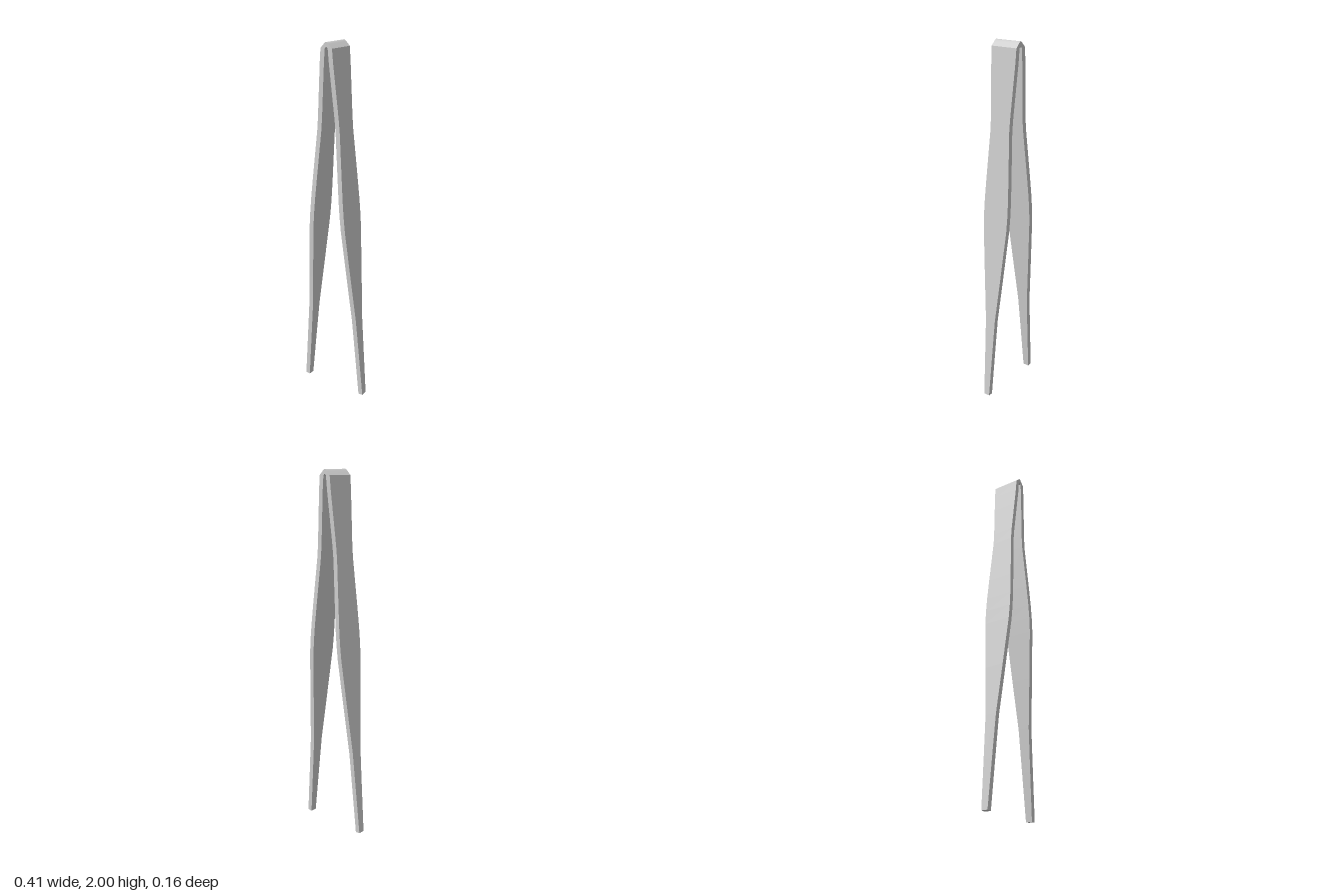
import * as THREE from 'three';
import { toCreasedNormals } from 'three/addons/utils/BufferGeometryUtils.js';

// Half-width of the blade (z) at heights y, from tip to shoulder
const widths = [
  [0, 0.018], [0.25, 0.025], [0.48, 0.032], [0.75, 0.055], [1.02, 0.077], [1.1, 0.079],
  [1.18, 0.078], [1.3, 0.073], [1.55, 0.061], [1.62, 0.062], [1.8, 0.071], [1.9, 0.076], [1.97, 0.077],
];

// Half of the bent strip: each station has outer and inner (x, y) and half-width
function halfStations() {
  const list = widths.map(([y, w]) => {
    const t = y / 1.97;
    return {
      outer: [0.207 + (0.035 - 0.207) * t, y + 0.002 * (1 - t)],
      inner: [0.180 + (0.009 - 0.180) * t, y - 0.002 * t],
      w,
    };
  });
  // rounded fold at the top
  list.push({ outer: [0.014, 1.991], inner: [0.004, 1.973], w: 0.077 });
  list.push({ outer: [0.005, 1.999], inner: [0.002, 1.975], w: 0.077 });
  return list;
}

// Strip with a rectangular section lofted through the stations
function stripGeometry(stations) {
  const pos = [];
  const idx = [];
  stations.forEach(({ outer, inner, w }) => {
    pos.push(...outer, w, ...outer, -w, ...inner, -w, ...inner, w);
  });
  const n = stations.length;
  for (let i = 0; i < n - 1; i++) {
    for (let k = 0; k < 4; k++) {
      const a = i * 4 + k;
      const b = i * 4 + (k + 1) % 4;
      idx.push(a, b, b + 4, a, b + 4, a + 4);
    }
  }
  // flat ends of the two tips
  const e = (n - 1) * 4;
  idx.push(0, 2, 1, 0, 3, 2, e, e + 1, e + 2, e, e + 2, e + 3);
  const geo = new THREE.BufferGeometry();
  geo.setAttribute('position', new THREE.Float32BufferAttribute(pos, 3));
  geo.setIndex(idx);
  return toCreasedNormals(geo, 0.6);
}

export function createModel() {
  const group = new THREE.Group();
  group.name = 'tweezers';

  // right-hand arm, fold, then the mirrored arm
  const half = halfStations();
  const apex = { outer: [0, 2], inner: [0, 1.976], w: 0.077 };
  const mirrored = half.map(({ outer, inner, w }) => ({
    outer: [-outer[0], outer[1]], inner: [-inner[0], inner[1]], w,
  })).reverse();

  const material = new THREE.MeshStandardMaterial({ color: 0xcccccc });
  const strip = new THREE.Mesh(stripGeometry([...half, apex, ...mirrored]), material);
  strip.name = 'foldedArms';
  group.add(strip);
  return group;
}
